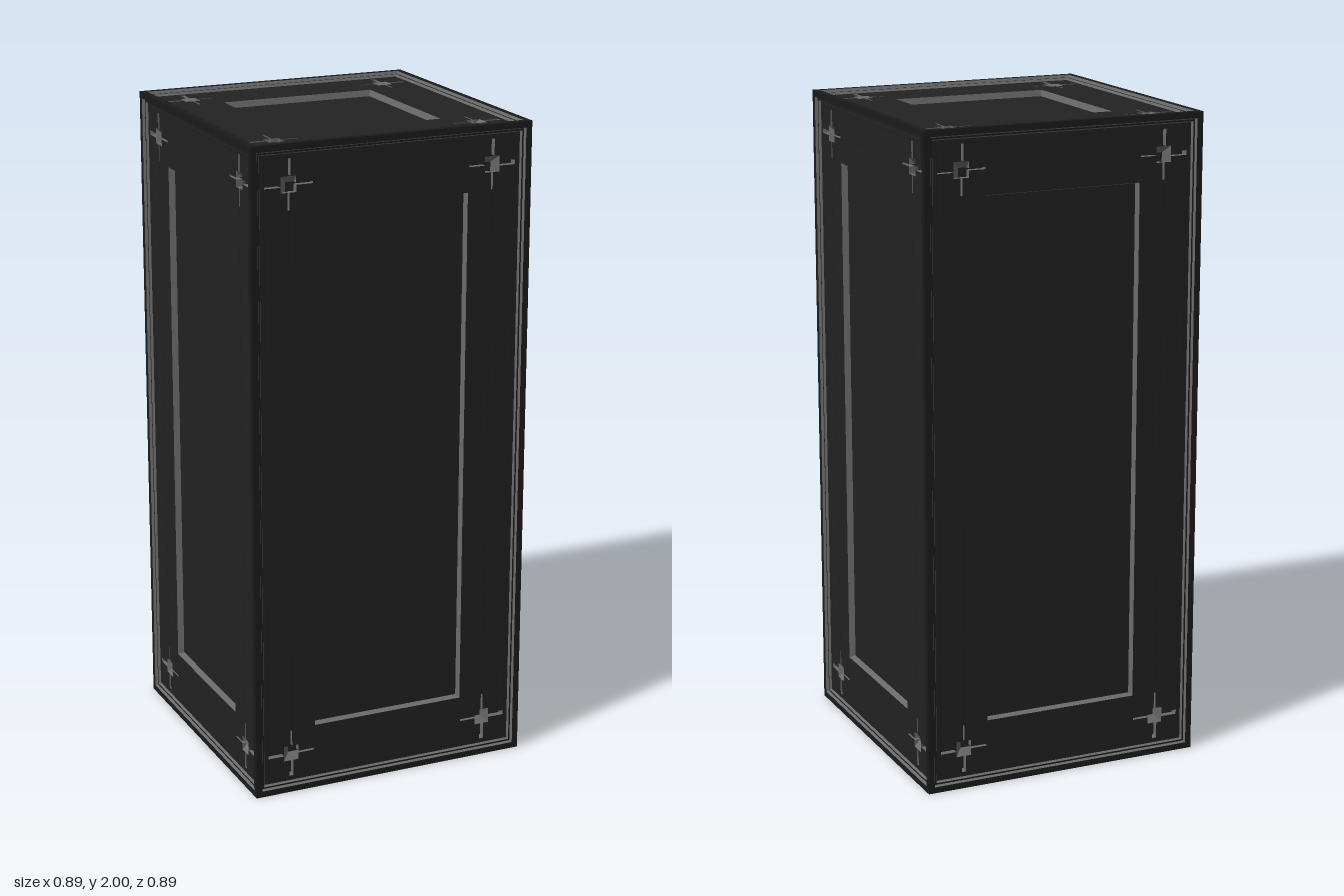
import * as THREE from 'three';

const W = 0.888, H = 2;
const material = (name, color) => {
  const m = new THREE.MeshStandardMaterial({ color, side: THREE.DoubleSide });
  m.name = name;
  return m;
};

// Counter-clockwise rectangle, inset from a w x h face
const rect = (w, h, inset) => {
  const x = w / 2 - inset, y = h / 2 - inset;
  return [[-x, -y], [x, -y], [x, y], [-x, y]].map(p => new THREE.Vector2(...p));
};

// Flat plate at depth z, with optional holes
function plate(outline, holes, z) {
  const shape = new THREE.Shape(outline);
  holes.forEach(h => shape.holes.push(new THREE.Path(h)));
  return new THREE.ShapeGeometry(shape).translate(0, 0, z);
}

// Sloped wall of a recess, from the upper outline to the lower one
function wall(top, zTop, bottom, zBottom, closed = true) {
  const v = [], n = top.length;
  for (let i = 0; i < (closed ? n : n - 1); i++) {
    const j = (i + 1) % n;
    const a = [top[i].x, top[i].y, zTop], b = [top[j].x, top[j].y, zTop];
    const c = [bottom[j].x, bottom[j].y, zBottom], d = [bottom[i].x, bottom[i].y, zBottom];
    v.push(...a, ...b, ...c, ...a, ...c, ...d);
  }
  const g = new THREE.BufferGeometry();
  g.setAttribute('position', new THREE.Float32BufferAttribute(v, 3));
  g.computeVertexNormals();
  return g;
}

// Corner socket: a square with long slots, measured outward from its centre
function socketOutline(cx, cy, sx, sy, taper) {
  const s = 0.024, a = 0.007, b = 0.003, out = 0.075 - taper, inn = -0.075 + taper;
  const pts = [
    [out, -a], [out, a], [s, a], [s, s], [a, s], [a, out], [-a, out], [-a, s], [-s, s],
    [-s, b], [inn, b], [inn, -b], [-s, -b], [-s, -s], [-b, -s], [-b, inn], [b, inn],
    [b, -s], [s, -s], [s, -a],
  ].map(([x, y]) => new THREE.Vector2(cx + sx * x, cy + sy * y));
  return sx * sy < 0 ? pts.reverse() : pts;
}

export function createModel() {
  const frameMat = material('frame black', 0x1b1b1b);
  const panelMat = material('panel charcoal', 0x222222);
  const trimMat = material('trim grey', 0x6a6a6a);

  // One decorated face looking along +z, with its outer plane at z = 0
  function face(name, w, h) {
    const g = new THREE.Group();
    g.name = name;
    const add = (part, geo, mat) => {
      const m = new THREE.Mesh(geo, mat);
      m.name = part;
      g.add(m);
    };
    const r = i => rect(w, h, i);
    const z1 = -0.008, z2 = -0.015, z3 = -0.034, zSocket = -0.034;

    // Outer frame and its stepped inner edge
    add('frame', plate(r(0), [r(0.019)], 0), frameMat);
    add('outerTrim', wall(r(0.019), 0, r(0.023), z1), trimMat);
    add('frameStep', plate(r(0.023), [r(0.028)], z1), frameMat);
    add('innerTrim', wall(r(0.028), z1, r(0.032), z2), trimMat);

    // Corner sockets
    const holes = [];
    for (const sx of [-1, 1]) for (const sy of [-1, 1]) {
      const cx = sx * (w / 2 - 0.121), cy = sy * (h / 2 - 0.121);
      const top = socketOutline(cx, cy, sx, sy, 0), low = socketOutline(cx, cy, sx, sy, 0.004);
      holes.push(top);
      add('socketWall', wall(top, z2, low, zSocket), trimMat);
      add('socketFloor', plate(low, [], zSocket), panelMat);
      // Sloped faces on the two outer sides of the socket
      const corner = k => [[k, -0.024], [k, k], [-0.024, k]]
        .map(([x, y]) => new THREE.Vector2(cx + sx * x, cy + sy * y));
      const upper = corner(0.024), lower = corner(0.003);
      if (sx * sy < 0) { upper.reverse(); lower.reverse(); }
      add('socketSlope', wall(upper, z2, lower, zSocket + 0.001, false), trimMat);
    }

    // Raised surround, recessed centre and fine seams
    add('surround', plate(r(0.032), [r(0.199), ...holes], z2), panelMat);
    add('centreTrim', wall(r(0.199), z2, r(0.204), z3), trimMat);
    add('centrePanel', plate(r(0.204), [], z3), panelMat);
    add('outerSeam', plate(r(0.044), [r(0.0455)], z2 + 0.001), frameMat);
    for (const s of [-1, 1]) {
      const seamX = new THREE.PlaneGeometry(w - 0.4, 0.0015);
      add('seam', seamX.translate(0, s * (h / 2 - 0.121), z2 + 0.001), frameMat);
      const seamY = new THREE.PlaneGeometry(0.0015, h - 0.4);
      add('seam', seamY.translate(s * (w / 2 - 0.121), 0, z2 + 0.001), frameMat);
    }
    return g;
  }

  const model = new THREE.Group();
  model.name = 'panelledBlock';
  // Four sides around the block
  ['front', 'left', 'back', 'right'].forEach((name, i) => {
    const f = face(name + 'Face', W, H), a = i * Math.PI / 2;
    f.rotation.y = a;
    f.position.set(Math.sin(a) * W / 2, H / 2, Math.cos(a) * W / 2);
    model.add(f);
  });
  // Top and bottom
  for (const s of [1, -1]) {
    const f = face(s > 0 ? 'topFace' : 'bottomFace', W, W);
    f.rotation.x = -s * Math.PI / 2;
    f.position.y = s > 0 ? H : 0;
    model.add(f);
  }
  return model;
}
